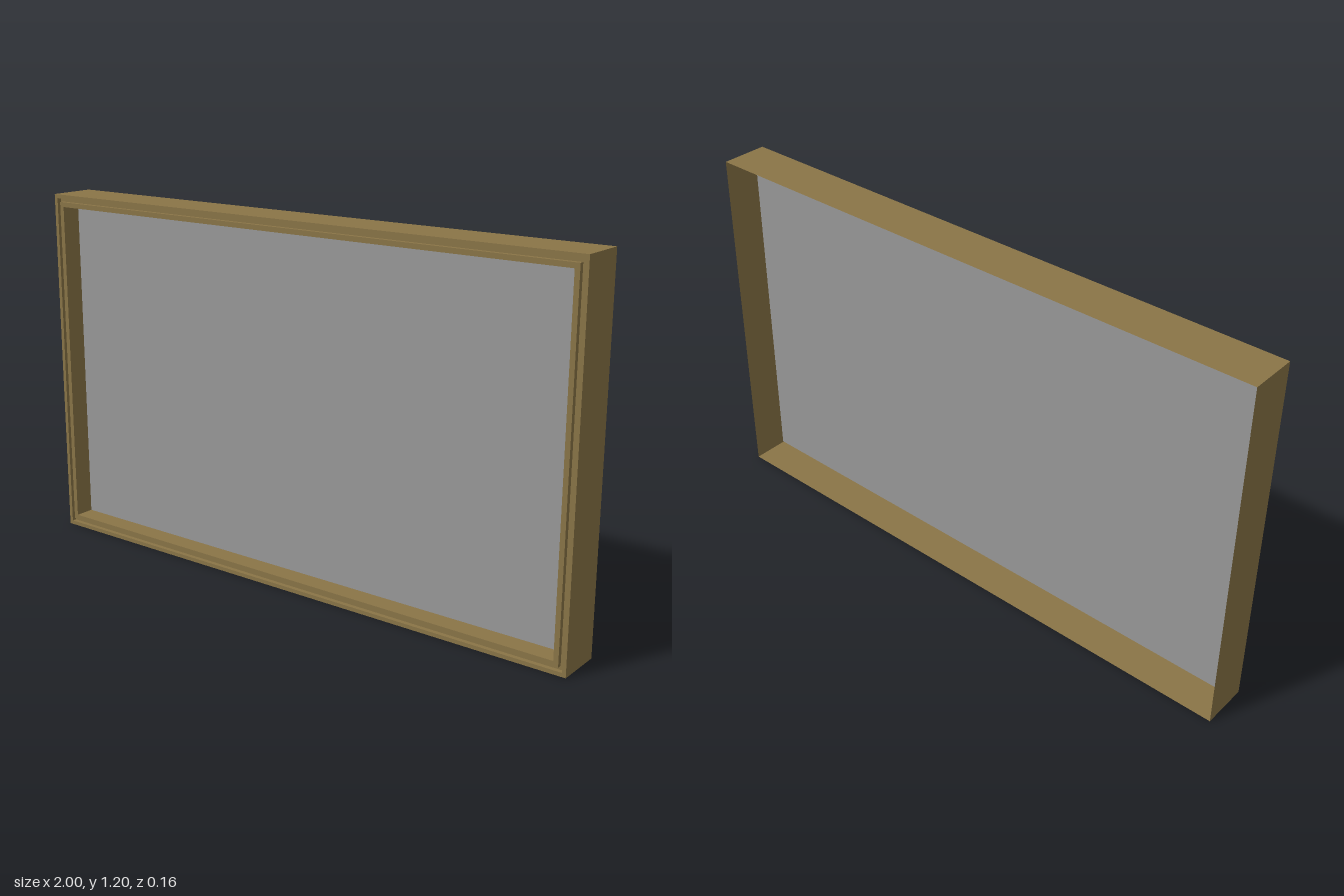
import * as THREE from 'three';

const WIDTH = 2, HEIGHT = 1.195, FRONT = 0.079, BACK = -0.079;
const PANEL_INSET = 0.041, PANEL_Z = 0.012;

// Corners of the rectangle lying `inset` inside the outline, counter-clockwise from the front
function ring([inset, z]) {
  const x = WIDTH / 2 - inset, low = inset, high = HEIGHT - inset;
  return [[-x, low, z], [x, low, z], [x, high, z], [-x, high, z]];
}

// Sweeps a profile of [inset, z] points round the rectangle with mitred corners
function mitredFrame(profile) {
  const positions = [];
  for (let i = 0; i < profile.length - 1; i++) {
    const a = ring(profile[i]), b = ring(profile[i + 1]);
    for (let k = 0; k < 4; k++) {
      const n = (k + 1) % 4;
      positions.push(...a[k], ...a[n], ...b[n], ...a[k], ...b[n], ...b[k]);
    }
  }
  const geometry = new THREE.BufferGeometry();
  geometry.setAttribute('position', new THREE.Float32BufferAttribute(positions, 3));
  geometry.computeVertexNormals();
  return geometry;
}

export function createModel() {
  const wood = new THREE.MeshStandardMaterial({ color: 0x8a7547, side: THREE.DoubleSide });
  wood.name = 'brown wood';
  const grey = new THREE.MeshStandardMaterial({ color: 0x999999, side: THREE.DoubleSide });
  grey.name = 'grey panel';

  const model = new THREE.Group();
  model.name = 'pictureFrame';

  function add(name, geometry, material) {
    const mesh = new THREE.Mesh(geometry, material);
    mesh.name = name;
    model.add(mesh);
    return mesh;
  }

  // Thin outer walls, open at the back
  add('outerWalls', mitredFrame([[0, BACK], [0, FRONT]]), wood);

  // Front moulding with a groove between the outer and inner lips
  add('frontMoulding', mitredFrame([
    [0, FRONT], [0.013, FRONT],
    [0.013, FRONT - 0.015], [0.025, FRONT - 0.015],
    [0.025, FRONT], [PANEL_INSET, FRONT],
  ]), wood);

  // Reveal running back from the lip to the panel
  add('innerReveal', mitredFrame([[PANEL_INSET, FRONT], [PANEL_INSET, PANEL_Z]]), wood);

  // Flat recessed panel
  const panel = add('panel', new THREE.PlaneGeometry(
    WIDTH - 2 * PANEL_INSET, HEIGHT - 2 * PANEL_INSET), grey);
  panel.position.set(0, HEIGHT / 2, PANEL_Z);

  return model;
}
